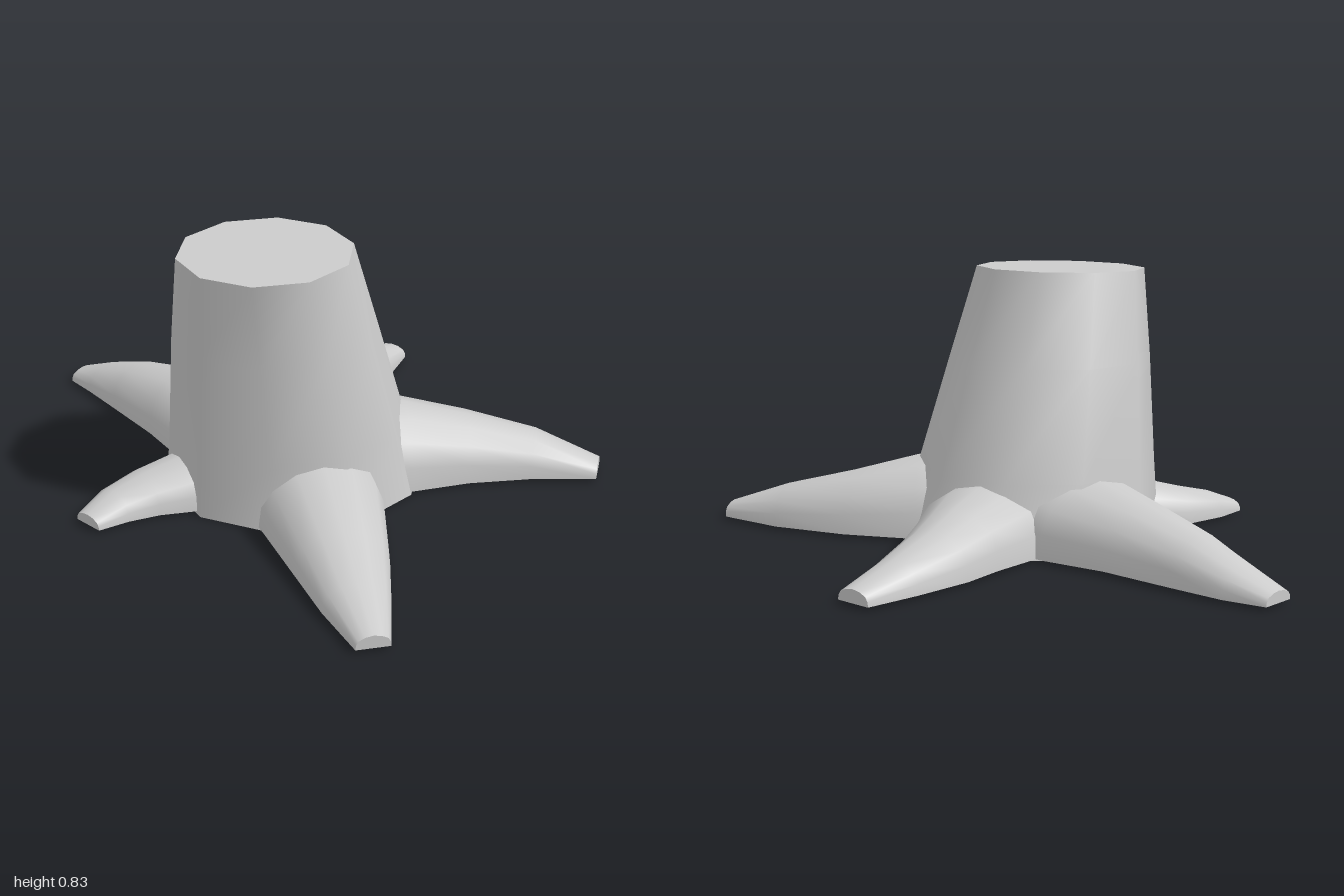
import * as THREE from 'three';
import { toCreasedNormals } from 'three/addons/utils/BufferGeometryUtils.js';

const material = new THREE.MeshStandardMaterial({ color: 0xcccccc });

// Skin a list of closed rings (counter-clockwise seen from the end) and cap both ends.
function loft(name, rings) {
  const n = rings[0].length;
  const index = [];
  for (let i = 0; i < rings.length - 1; i++) {
    for (let j = 0; j < n; j++) {
      const k = (j + 1) % n;
      const a = i * n + j, b = i * n + k, c = b + n, d = a + n;
      index.push(a, b, c, a, c, d);
    }
  }
  const last = (rings.length - 1) * n;
  for (let j = 1; j < n - 1; j++) {
    index.push(0, j + 1, j);
    index.push(last, last + j, last + j + 1);
  }
  const geometry = new THREE.BufferGeometry();
  geometry.setAttribute('position', new THREE.Float32BufferAttribute(rings.flat(2), 3));
  geometry.setIndex(index);
  const mesh = new THREE.Mesh(toCreasedNormals(geometry, 0.9), material);
  mesh.name = name;
  return mesh;
}

// Leaning ten-sided trunk: stations of [y, centre x, centre z, radius x, radius z].
function makeTrunk() {
  const stations = [
    [0, -0.105, -0.03, 0.415, 0.39],
    [0.22, -0.135, -0.01, 0.375, 0.37],
    [0.55, -0.188, 0.035, 0.318, 0.325],
    [0.825, -0.235, 0.09, 0.267, 0.272],
  ];
  return loft('trunk', stations.map(([y, cx, cz, rx, rz], i) => {
    const ring = [];
    for (let j = 0; j < 10; j++) {
      const a = THREE.MathUtils.degToRad(36 * j - 10);
      // the cut at the top slopes very slightly
      const tilt = i === 3 ? 0.005 * (Math.cos(a) + Math.sin(a)) : 0;
      ring.push([cx + rx * Math.cos(a), y + tilt, cz - rz * Math.sin(a)]);
    }
    return ring;
  }));
}

// Rounded half-section of a root: across, up.
const SECTION = [[-1, 0], [-0.97, 0.35], [-0.83, 0.67], [-0.45, 0.91], [0, 1],
  [0.45, 0.91], [0.83, 0.67], [0.97, 0.35], [1, 0]];

// Root from stations of [x, z, half width, height], from inside the trunk to the tip.
function makeRoot(name, stations) {
  return loft(name, stations.map(([x, z, w, h], i) => {
    const p = stations[Math.max(i - 1, 0)];
    const q = stations[Math.min(i + 1, stations.length - 1)];
    const dx = q[0] - p[0], dz = q[1] - p[1], len = Math.hypot(dx, dz);
    return SECTION.map(([u, v]) => [
      x - (dz / len) * w * u, 0.01 + v * (h - 0.01), z + (dx / len) * w * u,
    ]);
  }));
}

const ROOTS = {
  frontRoot: [[-0.14, 0.2, 0.2, 0.23], [-0.15, 0.36, 0.187, 0.21], [-0.192, 0.6, 0.142, 0.145],
    [-0.23, 0.8, 0.1, 0.095], [-0.26, 0.99, 0.05, 0.05]],
  leftRoot: [[0.08, 0.05, 0.2, 0.25], [0.23, 0.07, 0.185, 0.24], [0.43, 0.13, 0.147, 0.185],
    [0.63, 0.225, 0.105, 0.13], [0.8, 0.345, 0.055, 0.055]],
  backLeftRoot: [[0.03, -0.19, 0.2, 0.22], [0.12, -0.3, 0.19, 0.205], [0.21, -0.42, 0.145, 0.175],
    [0.29, -0.52, 0.12, 0.145], [0.415, -0.635, 0.085, 0.1], [0.545, -0.735, 0.057, 0.05]],
  backRoot: [[-0.18, -0.2, 0.23, 0.24], [-0.24, -0.33, 0.215, 0.225], [-0.335, -0.51, 0.155, 0.19],
    [-0.435, -0.72, 0.115, 0.145], [-0.51, -0.87, 0.085, 0.09], [-0.575, -0.97, 0.055, 0.045]],
  rightRoot: [[-0.4, -0.01, 0.13, 0.16], [-0.5, -0.005, 0.122, 0.14], [-0.61, 0, 0.102, 0.112],
    [-0.72, 0.03, 0.078, 0.085], [-0.815, 0.075, 0.052, 0.045]],
};

export function createModel() {
  const group = new THREE.Group();
  group.name = 'treeStump';
  group.add(makeTrunk());
  for (const [name, stations] of Object.entries(ROOTS)) group.add(makeRoot(name, stations));
  return group;
}
